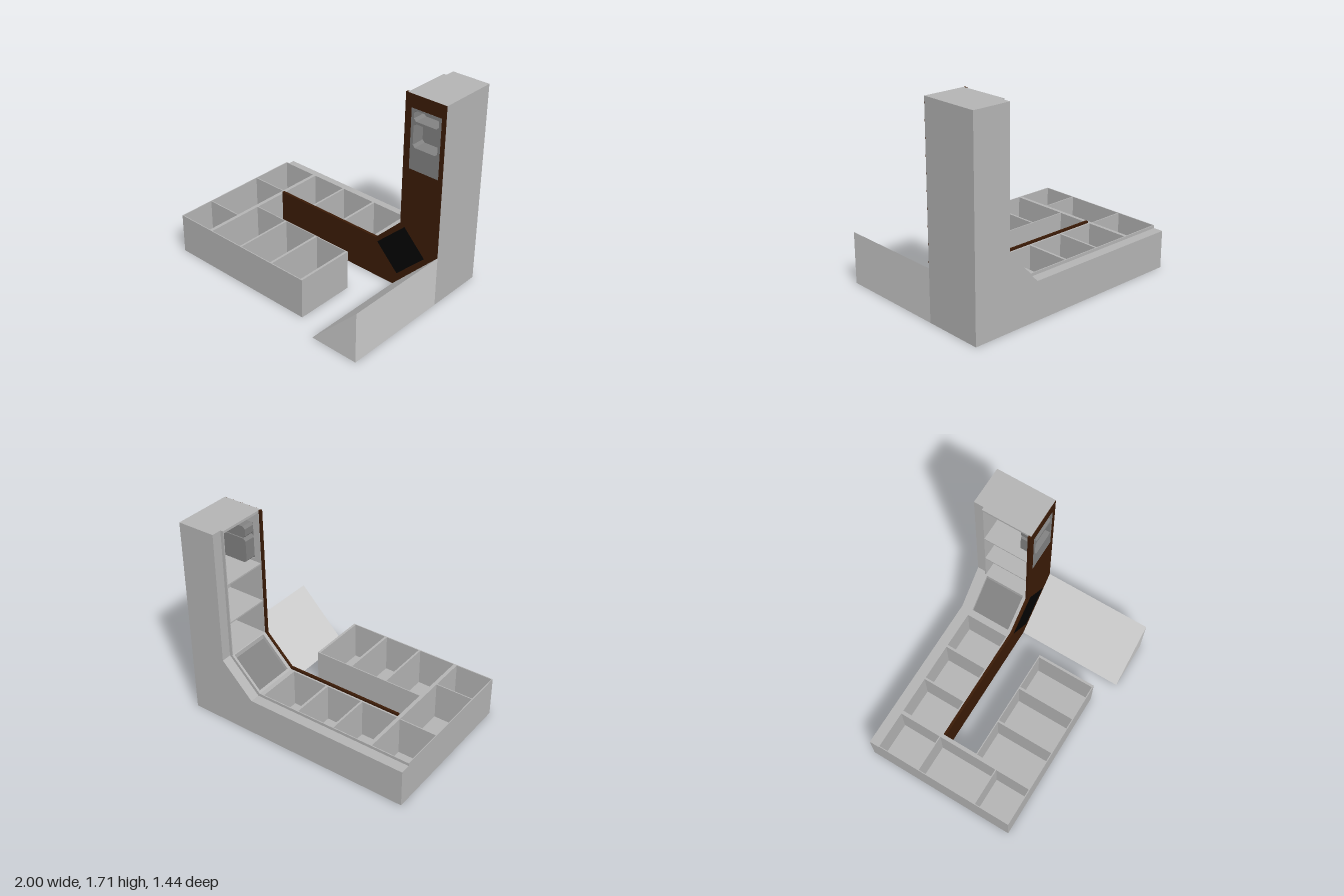
import * as THREE from 'three';

const paint = (color) => new THREE.MeshStandardMaterial({ color });
const grey = paint(0xcccccc);
const bodyGrey = paint(0xb5b5b5);
const darkGrey = paint(0x828282);
const brown = paint(0x3b1b06);
const black = paint(0x030303);

export function createModel() {
  const model = new THREE.Group();

  const add = (name, geometry, material) => {
    const mesh = new THREE.Mesh(geometry, material);
    mesh.name = name;
    model.add(mesh);
  };
  const points = (list) => list.map(([x, y]) => new THREE.Vector2(x, y));
  // Outlines and holes both run counter-clockwise
  const extrude = (list, holes, depth) => {
    const shape = new THREE.Shape(points(list));
    holes.forEach((h) => shape.holes.push(new THREE.Path(points(h))));
    return new THREE.ExtrudeGeometry(shape, { depth, bevelEnabled: false });
  };
  // Front profile (x, y) extruded from z0 to z1
  const slab = (name, list, z0, z1, material = bodyGrey, holes = []) =>
    add(name, extrude(list, holes, z1 - z0).translate(0, 0, z0), material);
  // Plan outline (x, z) extruded from y0 to y1
  const flip = (list) => list.map(([x, z]) => [x, -z]).reverse();
  const plan = (name, list, y0, y1, holes = []) =>
    add(name, extrude(flip(list), holes.map(flip), y1 - y0)
      .rotateX(-Math.PI / 2).translate(0, y0, 0), bodyGrey);
  const box = (name, x0, x1, y0, y1, z0, z1) =>
    add(name, new THREE.BoxGeometry(x1 - x0, y1 - y0, z1 - z0)
      .translate((x0 + x1) / 2, (y0 + y1) / 2, (z0 + z1) / 2), bodyGrey);
  const rect = (x0, x1, y0, y1) => [[x0, y0], [x1, y0], [x1, y1], [x0, y1]];
  const chamfered = (x0, x1, y0, y1, c) => [
    [x0 + c, y0], [x1 - c, y0], [x1, y0 + c], [x1, y1 - c],
    [x1 - c, y1], [x0 + c, y1], [x0, y1 - c], [x0, y0 + c]];

  // U-shaped run of open compartments
  const outline = [[-1, -0.635], [0.39, -0.635], [0.39, -0.215], [-0.64, -0.215],
    [-0.64, 0.075], [0.355, 0.075], [0.355, 0.595], [-1, 0.595]];
  const cells = [[-0.627, -0.257], [-0.248, 0.274], [0.283, 0.587]]
    .map(([z0, z1]) => rect(-0.993, -0.672, z0, z1));
  [[-0.642, -0.322], [-0.305, 0.012], [0.032, 0.35]].forEach(([x0, x1], i) => {
    cells.push(rect(x0, x1, -0.627, -0.25));
    cells.push(rect(x0, i === 2 ? 0.335 : x1, 0.083, 0.587));
  });
  plan('compartmentFloor', outline, 0, 0.02);
  plan('compartmentWalls', outline, 0.02, 0.345, cells);

  // Back wall, set slightly lower than the compartments
  slab('backWall', [[-1, 0], [1, 0], [1, 1.71], [0.675, 1.71], [0.675, 0.595], [0.405, 0.32], [-1, 0.32]],
    -0.72, -0.635);

  // Sloped base under the tower, with a dark-floored recess in the slope
  const ramp = [[0.39, 0], [1, 0], [1, 0.605], [0.65, 0.605], [0.39, 0.345]];
  slab('slopeCheekBack', ramp, -0.635, -0.615);
  slab('slopeCheekFront', ramp, -0.265, -0.215);
  slab('slopeRecess', [[0.39, 0], [1, 0], [1, 0.605], [0.65, 0.605], [0.645, 0.6],
    [0.645, 0.55], [0.405, 0.31], [0.405, 0.36], [0.39, 0.345]], -0.615, -0.265);
  slab('recessFloor', [[0.405, 0.31], [0.645, 0.55], [0.645, 0.56], [0.405, 0.32]],
    -0.615, -0.265, darkGrey);

  // Tower: outer wall, rear and front linings, top and shelves
  box('towerSide', 0.99, 1, 0, 1.71, -0.635, -0.215);
  box('towerRearLining', 0.65, 1, 0.6, 1.71, -0.636, -0.628);
  slab('towerFrontLining', rect(0.65, 0.99, 0.6, 1.69), -0.24, -0.235, bodyGrey,
    [rect(0.709, 0.944, 1.279, 1.591)]);
  box('towerTop', 0.65, 1, 1.69, 1.71, -0.635, -0.215);
  [0.91, 1.25].forEach((y) => box('shelf', 0.652, 0.99, y - 0.012, y, -0.63, -0.235));

  // Brown front board with an opening for the dispenser
  slab('frontBoard', [[-0.64, 0.002], [0.999, 0.002], [0.999, 1.709], [0.633, 1.709], [0.633, 0.6],
    [0.395, 0.362], [-0.64, 0.362]], -0.235, -0.213, brown, [rect(0.69, 0.96, 1.1, 1.6)]);

  // Dispenser plate with two chamfered niches behind it
  const niches = [[1.5, 1.585], [1.285, 1.48]];
  const opening = ([y0, y1]) => chamfered(0.715, 0.938, y0, y1, 0.02);
  slab('dispenserPlate', rect(0.69, 0.96, 1.1, 1.6), -0.235, -0.2125, darkGrey, niches.map(opening));
  niches.forEach((niche) => {
    const outer = chamfered(0.709, 0.944, niche[0] - 0.006, niche[1] + 0.006, 0.02);
    slab('nicheWalls', outer, -0.33, -0.235, darkGrey, [opening(niche)]);
    slab('nicheBack', outer, -0.336, -0.33, darkGrey);
  });

  // Tilted dark screen
  slab('screen', [[0.415, 0.33], [0.62, 0.12], [0.875, 0.37], [0.675, 0.575]], -0.215, -0.21, black);

  // Ramp-like wedge reaching forward from the tower
  slab('frontWedge', [[0.577, 0], [1, 0], [1, 0.435]], -0.215, 0.72, grey);

  return model;
}
